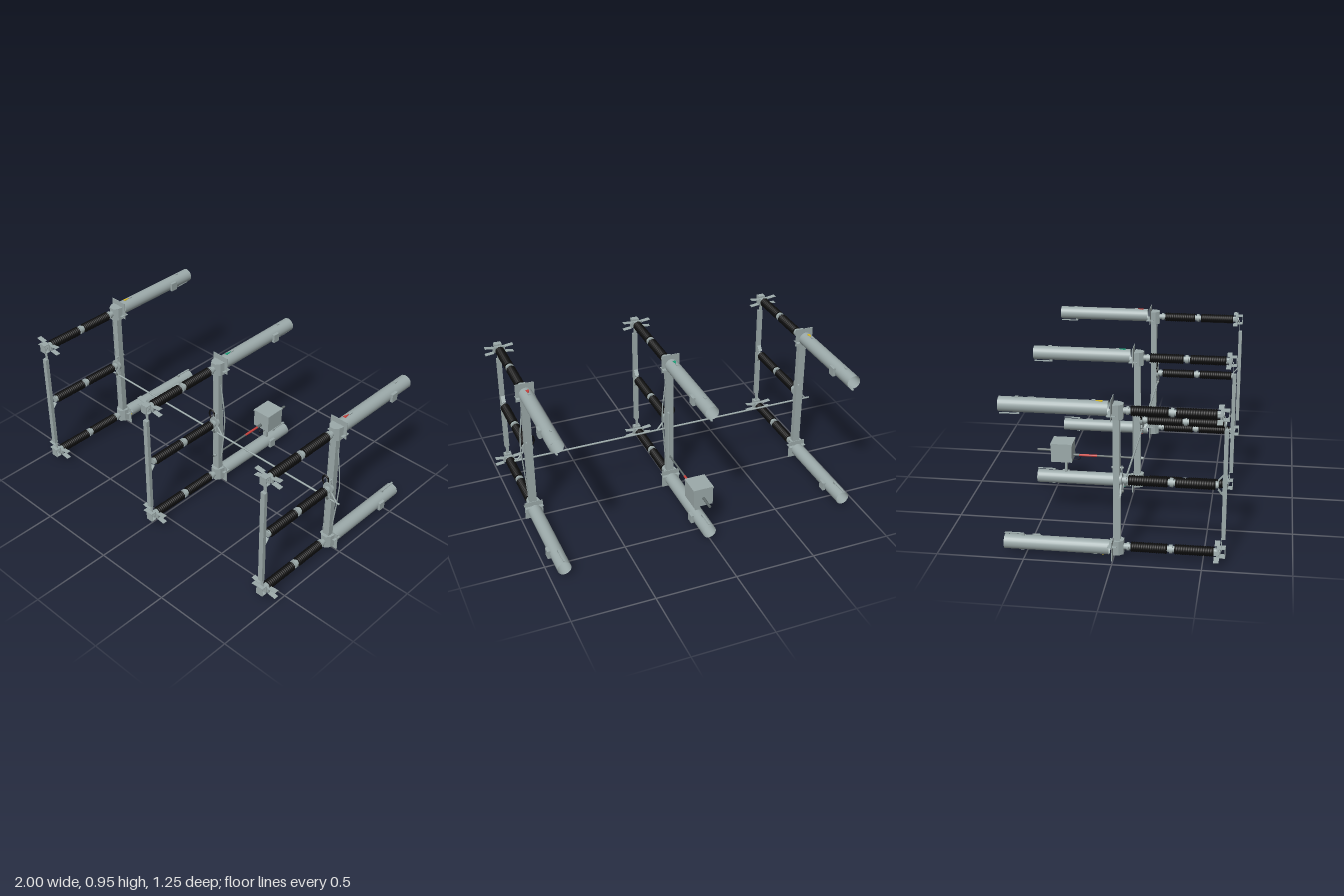
import * as THREE from 'three';

const mat = (name, color, side = THREE.FrontSide) => {
  const m = new THREE.MeshStandardMaterial({ color, side });
  m.name = name;
  return m;
};

export function createModel() {
  const root = new THREE.Group();
  root.name = 'threePhaseSwitch';
  const steel = mat('galvanised steel', 0x9caaaa);
  const sheet = mat('steel sheet', 0x9caaaa, THREE.DoubleSide);
  const dark = mat('dark steel', 0x626c6c);
  const black = mat('black polymer', 0x0c0c0c);
  const red = mat('red', 0xc8403c);
  const yellow = mat('yellow', 0xd8b820);
  const green = mat('green', 0x1fa07a);

  const add = (parent, name, geo, material, x = 0, y = 0, z = 0) => {
    const m = new THREE.Mesh(geo, material);
    m.name = name;
    m.position.set(x, y, z);
    parent.add(m);
    return m;
  };
  const box = (p, name, w, h, d, x, y, z, m = steel) =>
    add(p, name, new THREE.BoxGeometry(w, h, d), m, x, y, z);
  // Cylinder along z between two depths
  const rodZ = (p, name, r, z0, z1, x, y, m = steel, n = 16) =>
    add(p, name, new THREE.CylinderGeometry(r, r, Math.abs(z1 - z0), n).rotateX(Math.PI / 2), m, x, y, (z0 + z1) / 2);
  // Straight round bar between two points
  const bar = (p, name, a, b, r, m = steel) => {
    const A = new THREE.Vector3(...a), B = new THREE.Vector3(...b);
    const mesh = add(p, name, new THREE.CylinderGeometry(r, r, A.distanceTo(B), 8), m);
    mesh.position.copy(A).lerp(B, 0.5);
    mesh.quaternion.setFromUnitVectors(new THREE.Vector3(0, 1, 0), B.sub(A).normalize());
    return mesh;
  };
  const cable = (p, name, pts, r, m) => add(p, name, new THREE.TubeGeometry(
    new THREE.CatmullRomCurve3(pts.map(q => new THREE.Vector3(...q))), 28, r, 6), m);

  // Ribbed insulator body along z
  const ribbed = (p, z0, z1, y) => {
    const pts = [new THREE.Vector2(0, z0)], n = 16, step = (z1 - z0) / n;
    for (let i = 0; i < n; i++) {
      const z = z0 + i * step;
      pts.push(new THREE.Vector2(0.025, z), new THREE.Vector2(0.029, z + step * 0.3),
        new THREE.Vector2(0.029, z + step * 0.6));
    }
    pts.push(new THREE.Vector2(0.025, z1), new THREE.Vector2(0, z1));
    add(p, 'insulatorSheds', new THREE.LatheGeometry(pts, 20).rotateX(Math.PI / 2), black, 0, y, 0);
  };
  const insulator = (p, y, zBase) => {
    const g = new THREE.Group();
    g.name = 'insulator';
    p.add(g);
    ribbed(g, zBase, 0.3, y);
    ribbed(g, 0.342, 0.56, y);
    rodZ(g, 'middleCollar', 0.018, 0.298, 0.344, 0, y);
    rodZ(g, 'middleFlange', 0.026, 0.312, 0.33, 0, y);
    rodZ(g, 'rearCap', 0.018, 0.04, zBase + 0.002, 0, y);
    rodZ(g, 'rearFlange', 0.024, zBase - 0.024, zBase - 0.01, 0, y);
    rodZ(g, 'frontCap', 0.02, 0.558, 0.577, 0, y);
  };

  // Upper or lower end of a pole; s is +1 at the top and -1 at the bottom
  const poleEnd = (p, s, markColor) => {
    const g = new THREE.Group();
    g.name = s > 0 ? 'upperEnd' : 'lowerEnd';
    p.add(g);
    const yt = s > 0 ? 0.893 : 0.06, yi = s > 0 ? 0.886 : 0.07;

    // Hollow bus tube
    add(g, 'busTube', new THREE.CylinderGeometry(0.042, 0.042, 0.6, 24, 1, true).rotateX(Math.PI / 2), sheet, 0, yt, -0.325);
    box(g, 'sidePlate', 0.018, 0.053, 0.046, 0.047, yt, -0.453);
    for (const z of [-0.105, -0.525]) box(g, 'tubeLug', 0.012, 0.008, 0.02, 0, yt + s * 0.043, z);
    box(g, 'tailStrip', 0.012, 0.004, 0.11, 0, yt - s * 0.053, -0.57);
    box(g, 'tailLug', 0.012, 0.014, 0.016, 0, yt - s * 0.046, -0.52);

    // Coloured phase arrow on the tube
    const arrow = new THREE.Shape([[-0.014, 0], [0.004, -0.01], [0.012, 0.034]].map(q => new THREE.Vector2(...q)));
    const am = add(g, 'phaseArrow', new THREE.ExtrudeGeometry(arrow, { depth: 0.006, bevelEnabled: false })
      .rotateX(-Math.PI / 2), markColor, 0, s > 0 ? yt + 0.0385 : yt - 0.0445, -0.062);
    am.rotation.y = 0.35;

    // Mounting plates and tapered socket on the post
    box(g, 'mountingPlate', 0.115, 0.115, 0.004, 0, s > 0 ? 0.897 : 0.058, -0.006);
    box(g, 'supportShelf', 0.115, 0.003, 0.05, 0, s > 0 ? 0.866 : 0.083, -0.005);
    const taper = new THREE.Shape([[-0.042, 0], [0.042, 0], [0.036, -0.03], [0.018, -0.055], [-0.018, -0.055], [-0.036, -0.03]]
      .map(q => new THREE.Vector2(...q)));
    add(g, 'insulatorSocket', new THREE.ExtrudeGeometry(taper, { depth: 0.085, bevelEnabled: false })
      .rotateX(-Math.PI / 2), steel, 0, s > 0 ? 0.84 : 0.028, 0.002);

    // Front contact: square loop, neck and flared fingers
    insulator(g, yi, 0.097);
    rodZ(g, 'contactNeck', 0.015, 0.575, 0.598, 0, yi);
    for (const k of [-1, 1]) {
      box(g, 'loopPlate', 0.046, 0.004, 0.035, 0, yi + k * 0.027, 0.608);
      box(g, 'loopPlate', 0.046, 0.056, 0.004, 0, yi, 0.608 + k * 0.016);
      for (const side of [-1, 1]) {
        const finger = box(g, 'contactFinger', 0.055, 0.003, 0.03, side * 0.062, yi + k * 0.02, 0.578);
        finger.rotation.z = k * side * 0.12;
        finger.visible = true;
      }
    }
    box(g, 'fingerBase', 0.075, 0.036, 0.012, 0, yi, 0.583);
  };

  const phases = [[-0.903, yellow], [0.006, green], [0.915, red]];
  phases.forEach(([x, color], i) => {
    const pole = new THREE.Group();
    pole.name = 'pole' + (i + 1);
    pole.position.x = x;
    root.add(pole);

    // Upright post with side flanges
    box(pole, 'post', 0.034, 0.895, 0.034, 0, 0.477, 0.019);
    for (const k of [-1, 1]) box(pole, 'postFlange', 0.006, 0.895, 0.038, k * 0.02, 0.477, 0.019);
    poleEnd(pole, 1, color);
    poleEnd(pole, -1, color);

    // Central insulator carrying the moving contact
    insulator(pole, 0.478, 0.083);
    rodZ(pole, 'pivotDisc', 0.036, 0.036, 0.05, 0, 0.482, steel, 20);
    box(pole, 'blade', 0.03, 0.65, 0.023, 0, 0.478, 0.612);
    for (const s of [-1, 1]) {
      box(pole, 'bladeTip', 0.02, 0.085, 0.004, 0, 0.478 + s * 0.357, 0.603);
      const strap = box(pole, 'bladeStrap', 0.026, 0.046, 0.003, 0, 0.478 + s * 0.043, 0.589);
      strap.rotation.x = s * 0.7;
    }

    // Pivot hardware and crank
    rodZ(pole, 'upperBolt', 0.006, -0.012, 0.055, 0.012, 0.545);
    rodZ(pole, 'crankPin', 0.01, 0.032, 0.056, 0, 0.41, dark);
    box(pole, 'pivotLink', 0.016, 0.16, 0.006, 0.012, 0.475, 0.046);
    const s = i === 0 ? -1 : 1;
    bar(pole, 'crankArm', [s * 0.066, 0.408, 0.046], [s * 0.022, 0.465, 0.046], 0.006);

    // Outer linkage and flexible lead
    if (i > 0) {
      const pts = [[0.024, 0.76, 0.015], [0.045, 0.6, 0.012], [0.05, 0.5, 0.008], [0.038, 0.34, 0.008], [0.026, 0.19, 0.015]];
      pts.slice(1).forEach((q, j) => bar(pole, 'linkage', pts[j], q, 0.004));
      cable(pole, 'flexibleLead', [[-0.03, 0.49, 0.045], [-0.046, 0.525, 0.045], [-0.035, 0.556, 0.045],
        [-0.012, 0.553, 0.045], [-0.006, 0.52, 0.04]], 0.005, black);
    }
  });

  // Shaft linking the three poles
  bar(root, 'crossShaft', [-1, 0.406, 0.044], [1, 0.406, 0.044], 0.006);

  // Drive box and push rod on the middle pole
  const drive = new THREE.Group();
  drive.name = 'drive';
  drive.position.x = 0.006;
  root.add(drive);
  box(drive, 'driveBox', 0.124, 0.118, 0.134, 0, 0.246, -0.46);
  box(drive, 'driveLid', 0.13, 0.012, 0.14, 0, 0.305, -0.46);
  box(drive, 'drivePedestal', 0.03, 0.09, 0.014, 0, 0.142, -0.44);
  box(drive, 'pedestalFlange', 0.06, 0.01, 0.045, 0, 0.183, -0.44);
  rodZ(drive, 'outputShaft', 0.008, -0.525, -0.625, 0, 0.243, dark);
  rodZ(drive, 'pushRod', 0.006, -0.24, 0.06, 0, 0.217, dark);
  rodZ(drive, 'redSleeve', 0.0075, -0.355, -0.24, 0, 0.217, red);
  rodZ(drive, 'pushRodEnd', 0.009, -0.395, -0.355, 0, 0.217, dark);
  rodZ(drive, 'pushRodKnob', 0.009, 0.04, 0.056, 0, 0.217);
  bar(drive, 'verticalRod', [0.012, 0.21, -0.01], [0.012, 0.545, -0.01], 0.004);
  cable(drive, 'controlCable', [[0.02, 0.215, -0.37], [0.02, 0.185, -0.352], [0.02, 0.175, -0.4],
    [0.02, 0.18, -0.47], [0.02, 0.178, -0.51], [0.02, 0.19, -0.525]], 0.0018, black);

  return root;
}
